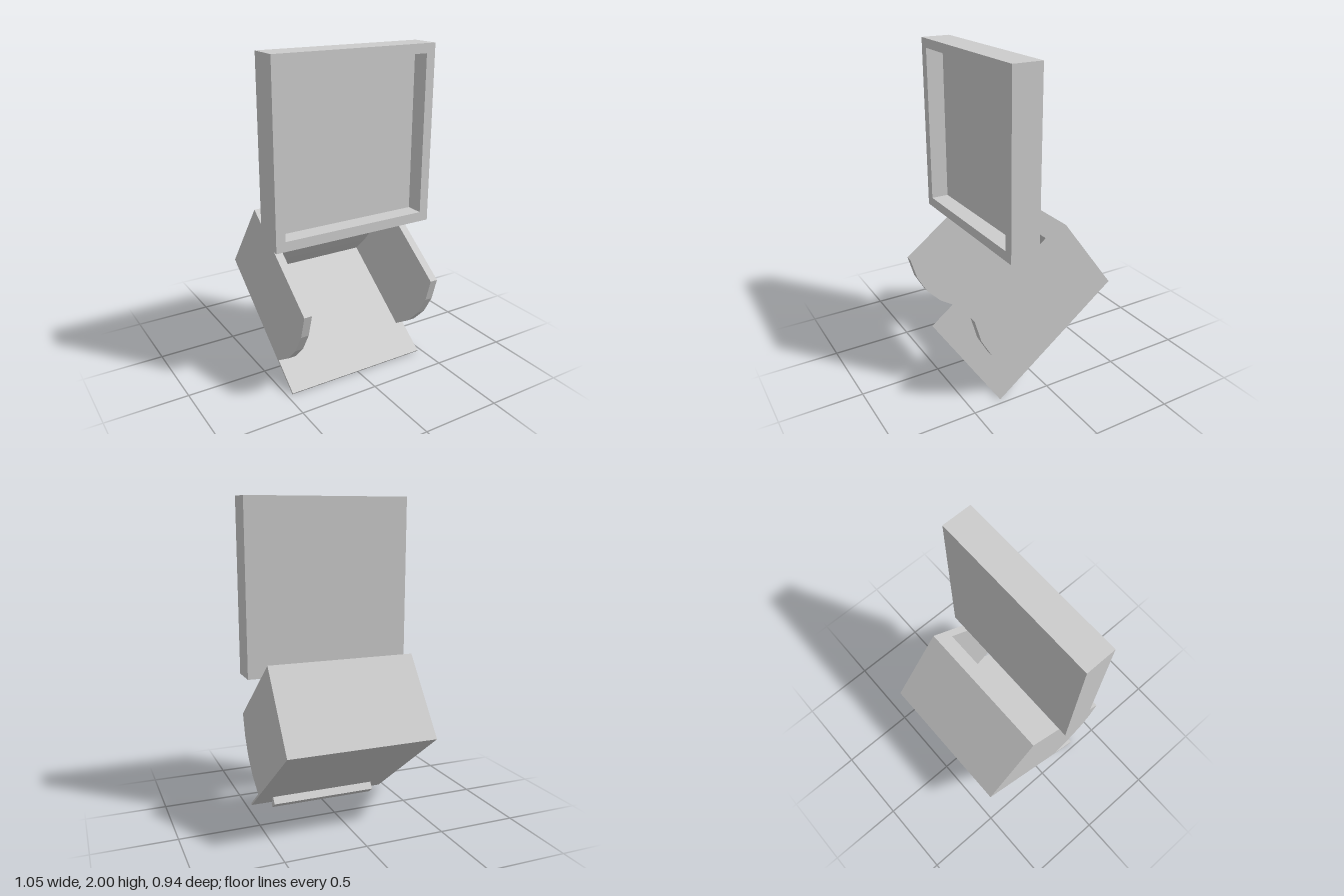
import * as THREE from 'three';

export function createModel() {
  const model = new THREE.Group();
  const grey = new THREE.MeshStandardMaterial({ color: 0xcccccc });
  grey.name = 'light grey';

  // Extrudes an outline evenly about its local z = 0
  const slab = (name, points, width, parent, offset = 0) => {
    const shape = new THREE.Shape(points.map(([a, b]) => new THREE.Vector2(a, b)));
    const geo = new THREE.ExtrudeGeometry(shape, { depth: width, bevelEnabled: false });
    geo.translate(0, 0, offset - width / 2);
    const mesh = new THREE.Mesh(geo, grey);
    mesh.name = name;
    parent.add(mesh);
  };

  // Upright panel: rim with an opening, closed by a back plate
  const panel = new THREE.Group();
  panel.name = 'uprightPanel';
  const rect = (Type, x, y0, y1) => new Type([[-x, y0], [x, y0], [x, y1], [-x, y1]].map(p => new THREE.Vector2(...p)));
  const rimShape = rect(THREE.Shape, 0.527, 0.915, 2);
  rimShape.holes.push(rect(THREE.Path, 0.468, 0.975, 1.943));
  const rim = new THREE.Mesh(new THREE.ExtrudeGeometry(rimShape, { depth: 0.11, bevelEnabled: false }), grey);
  rim.name = 'panelRim';
  rim.position.z = 0.165;
  const back = new THREE.Mesh(new THREE.BoxGeometry(1.054, 1.085, 0.075), grey);
  back.name = 'panelBack';
  back.position.set(0, 1.4575, 0.1275);
  panel.add(rim, back);
  model.add(panel);

  // Tilted tray: local x runs forward and down its floor, local y rises from it
  const tray = new THREE.Group();
  tray.name = 'tiltedTray';
  tray.quaternion.setFromRotationMatrix(new THREE.Matrix4().makeBasis(
    new THREE.Vector3(0, -0.6, 0.8), new THREE.Vector3(0, 0.8, 0.6), new THREE.Vector3(-1, 0, 0)));
  tray.position.set(0, 0.588, -0.467);
  model.add(tray);

  // Faceted curve bulging forward between floor and top
  const arc = (u, bulge) => [0, 1, 2, 3, 4].map(i => {
    const t = i / 4;
    return [u + bulge * 4 * t * (1 - t), 0.013 + 0.555 * t];
  });
  slab('trayFloor', [[0, 0], [0.972, 0], [0.972, 0.013], [0, 0.013]], 0.934, tray);
  slab('trayBackWall', [[0, 0.013], ...arc(0.13, 0.03), [0, 0.568]], 0.836, tray);
  for (const side of [-1, 1]) {
    slab(side > 0 ? 'rightSideWall' : 'leftSideWall',
      [[0, 0.013], ...arc(0.75, 0.07), [0, 0.568]], 0.049, tray, side * 0.4425);
  }

  // Hooked strip under the front of the floor
  slab('hookStrip', [[0.838, 0], [0.838, -0.05], [0.905, -0.05], [0.905, -0.025], [0.868, -0.025], [0.868, 0]],
    0.7, tray);

  return model;
}
